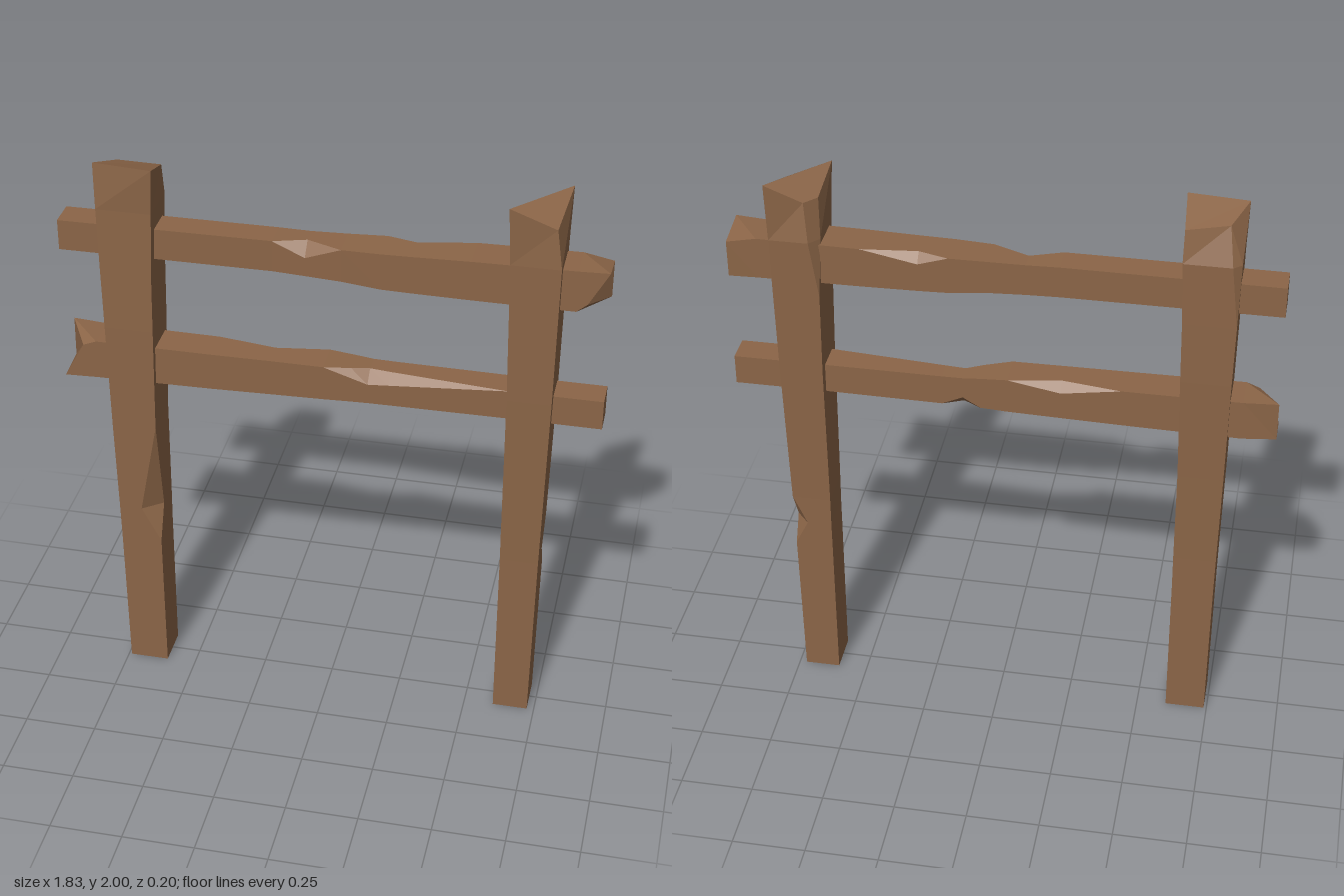
import * as THREE from 'three';

const wood = new THREE.MeshStandardMaterial({ color: 0x8b6547, flatShading: true });
wood.name = 'brown wood';

// Post section: corners front-left, front-right, back-right, back-left.
const level = (y, x0, x1, z0, z1, cuts = {}) => ({
  corners: [[x0, y, z1], [x1, y, z1], [x1, y, z0], [x0, y, z0]], cuts,
});
// Rail section: corners front-bottom, back-bottom, back-top, front-top.
const slice = (x, y0, y1, z0, z1, cuts = {}) => ({
  corners: [[x, y0, z1], [x, y0, z0], [x, y1, z0], [x, y1, z1]], cuts,
});

// Each corner becomes two points; a cut slides them toward the previous / next corner.
function ringOf({ corners, cuts }) {
  const v = corners.map((c) => new THREE.Vector3(...c));
  return v.flatMap((p, k) => {
    const [toPrev, toNext] = cuts[k] || [0, 0];
    return [p.clone().lerp(v[(k + 3) % 4], toPrev), p.clone().lerp(v[(k + 1) % 4], toNext)];
  });
}

// Hewn beam lofted through sections, capped with fans from the chosen corners.
function beam(name, sections, startFan = 0, endFan = 0) {
  const rings = sections.map(ringOf);
  const pos = [];
  const tri = (a, b, c) => {
    const area = b.clone().sub(a).cross(c.clone().sub(a)).length();
    if (area > 1e-7) [a, b, c].forEach((p) => pos.push(p.x, p.y, p.z));
  };
  for (let i = 0; i < rings.length - 1; i++) {
    const lo = rings[i], hi = rings[i + 1];
    for (let k = 0; k < 8; k++) {
      const n = (k + 1) % 8;
      tri(lo[k], lo[n], hi[n]);
      tri(lo[k], hi[n], hi[k]);
    }
  }
  const first = rings[0], last = rings[rings.length - 1];
  for (let k = 1; k < 7; k++) {
    const s = startFan * 2, e = endFan * 2;
    tri(first[s], first[(s + k + 1) % 8], first[(s + k) % 8]);
    tri(last[e], last[(e + k) % 8], last[(e + k + 1) % 8]);
  }
  const geo = new THREE.BufferGeometry();
  geo.setAttribute('position', new THREE.Float32BufferAttribute(pos, 3));
  geo.computeVertexNormals();
  const mesh = new THREE.Mesh(geo, wood);
  mesh.name = name;
  return mesh;
}

export function createModel() {
  const group = new THREE.Group();
  group.name = 'fence';

  // Post with a notch in its front inner edge and a worn back top
  group.add(beam('rightPost', [
    level(0, -0.74, -0.603, -0.07, 0.07),
    level(0.54, -0.745, -0.602, -0.073, 0.074),
    level(0.67, -0.747, -0.601, -0.074, 0.075, { 1: [0.46, 0.35] }),
    level(1.02, -0.753, -0.6, -0.078, 0.08),
    level(1.4, -0.758, -0.592, -0.085, 0.082),
    level(1.62, -0.762, -0.588, -0.087, 0.08),
    level(1.84, -0.765, -0.579, -0.085, 0.078, { 3: [0.15, 0.15] }),
    { corners: [[-0.77, 2, 0.065], [-0.57, 2, 0.085], [-0.58, 1.95, -0.065], [-0.72, 1.965, -0.04]], cuts: {} },
  ]));

  // Post with a notch in its back outer edge and a saddle-shaped top
  group.add(beam('leftPost', [
    level(0, 0.603, 0.725, -0.07, 0.07),
    level(0.56, 0.602, 0.732, -0.07, 0.077),
    level(0.65, 0.602, 0.733, -0.07, 0.078, { 2: [0.35, 0.35] }),
    level(0.76, 0.601, 0.735, -0.071, 0.08),
    level(1.3, 0.598, 0.745, -0.085, 0.09),
    level(1.6, 0.592, 0.748, -0.092, 0.092),
    level(1.8, 0.587, 0.75, -0.096, 0.092, { 3: [0.2, 0.2] }),
    {
      corners: [[0.578, 2, 0.1], [0.73, 1.935, 0.085], [0.755, 2, -0.1], [0.6, 1.915, -0.065]],
      cuts: { 3: [0.22, 0.22] },
    },
  ]));

  // Upper rail, one end split to a point
  group.add(beam('upperRail', [
    slice(-0.91, 1.66, 1.767, -0.055, 0.045),
    slice(-0.19, 1.66, 1.77, -0.055, 0.042),
    slice(-0.08, 1.658, 1.768, -0.056, 0.048, { 3: [0.42, 0.4] }),
    slice(0.04, 1.655, 1.77, -0.06, 0.054),
    slice(0.17, 1.645, 1.773, -0.066, 0.06),
    slice(0.27, 1.643, 1.775, -0.067, 0.06, { 2: [0.25, 0.22] }),
    slice(0.46, 1.641, 1.78, -0.068, 0.06),
    slice(0.8, 1.64, 1.785, -0.069, 0.06),
    { corners: [[0.835, 1.67, 0.06], [0.9, 1.637, -0.068], [0.9, 1.765, -0.07], [0.9, 1.79, 0.063]], cuts: {} },
  ]));

  // Lower rail, the opposite end split
  group.add(beam('lowerRail', [
    { corners: [[-0.915, 1.183, 0.06], [-0.915, 1.195, -0.06], [-0.915, 1.335, -0.065], [-0.845, 1.31, 0.06]], cuts: {} },
    slice(-0.8, 1.187, 1.328, -0.064, 0.06),
    slice(-0.4, 1.192, 1.326, -0.062, 0.058),
    slice(-0.2, 1.196, 1.326, -0.061, 0.056, { 2: [0.25, 0.25] }),
    slice(-0.02, 1.2, 1.325, -0.06, 0.055),
    slice(0.07, 1.202, 1.318, -0.056, 0.053, { 3: [0.22, 0.2] }),
    slice(0.13, 1.203, 1.312, -0.054, 0.052, { 3: [0.42, 0.34], 1: [0.3, 0.3] }),
    slice(0.2, 1.203, 1.311, -0.053, 0.051, { 3: [0.35, 0.29] }),
    slice(0.6, 1.205, 1.31, -0.05, 0.05),
    slice(0.91, 1.205, 1.31, -0.05, 0.05),
  ], 1, 0));

  return group;
}
